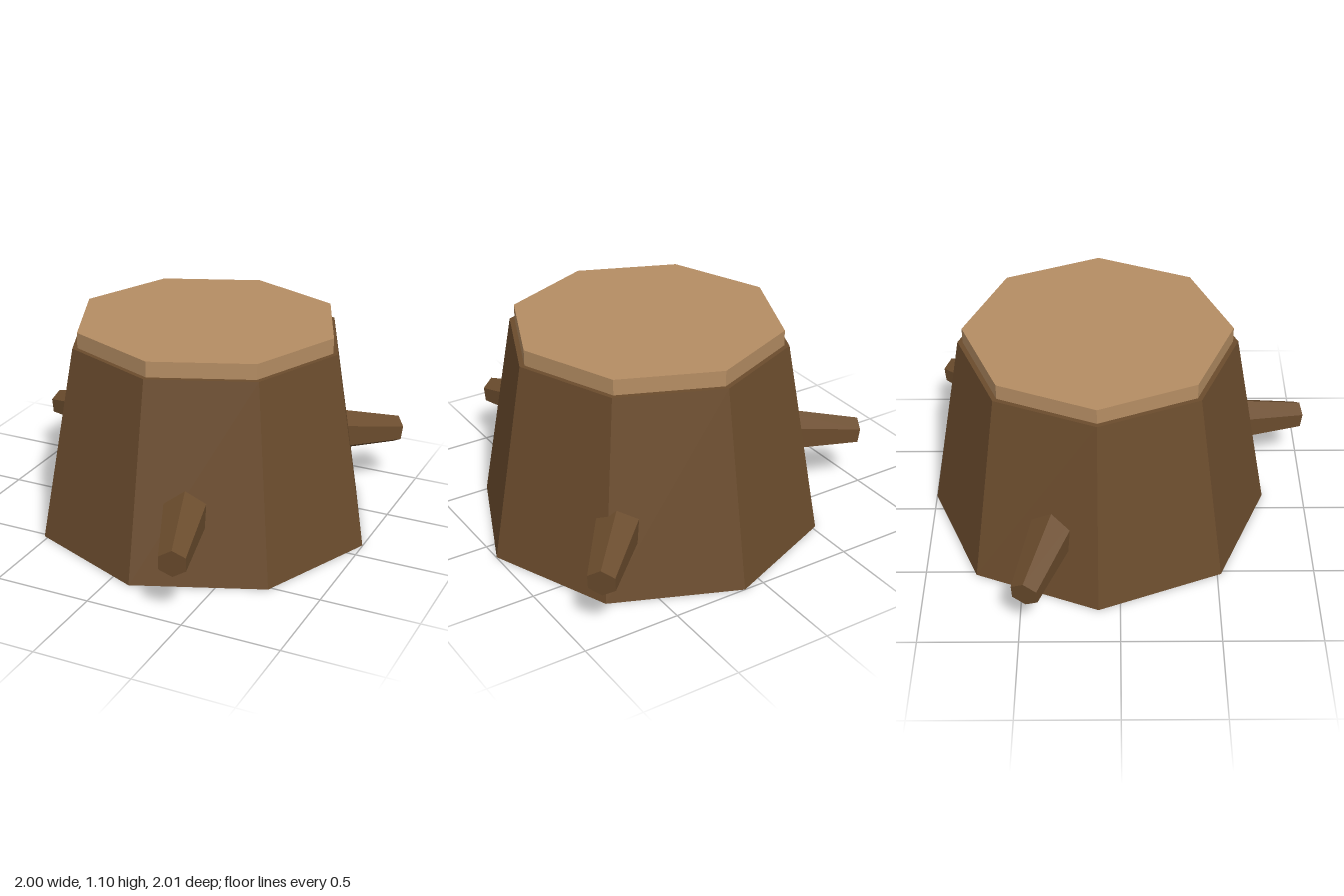
import * as THREE from 'three';

export function createModel() {
  const bark = new THREE.MeshStandardMaterial({ color: 0x6b4c2d, flatShading: true });
  bark.name = 'bark brown';
  const cutWood = new THREE.MeshStandardMaterial({ color: 0xb58d63, flatShading: true });
  cutWood.name = 'cut wood tan';

  const stump = new THREE.Group();
  stump.name = 'treeStump';
  stump.position.set(0.108, 0, -0.11);

  const add = (name, geometry, material) => {
    const mesh = new THREE.Mesh(geometry, material);
    mesh.name = name;
    stump.add(mesh);
    return mesh;
  };

  // Tapered eight-sided trunk
  add('trunk', new THREE.CylinderGeometry(0.712, 0.89, 1.02, 8).translate(0, 0.51, 0), bark);

  // Pale cut disc on top
  add('cutTop', new THREE.CylinderGeometry(0.686, 0.686, 0.08, 8).translate(0, 1.06, 0), cutWood);

  // Three stubby six-sided roots, pointing outward and slightly down
  const length = 0.55;
  const tipDistance = 1.145;
  const tilt = 0.145;
  const rootGeometry = new THREE.CylinderGeometry(0.075, 0.135, length, 6)
    .translate(0, -length / 2, 0)
    .rotateX(Math.PI / 2);
  [0.3, 2.4, 4.4].forEach((angle, i) => {
    const root = add('root' + (i + 1), rootGeometry, bark);
    root.rotation.set(tilt, angle, 0, 'YXZ');
    root.position.set(Math.sin(angle) * tipDistance, 0.302, Math.cos(angle) * tipDistance);
  });

  const model = new THREE.Group();
  model.name = 'stumpModel';
  model.add(stump);
  return model;
}
